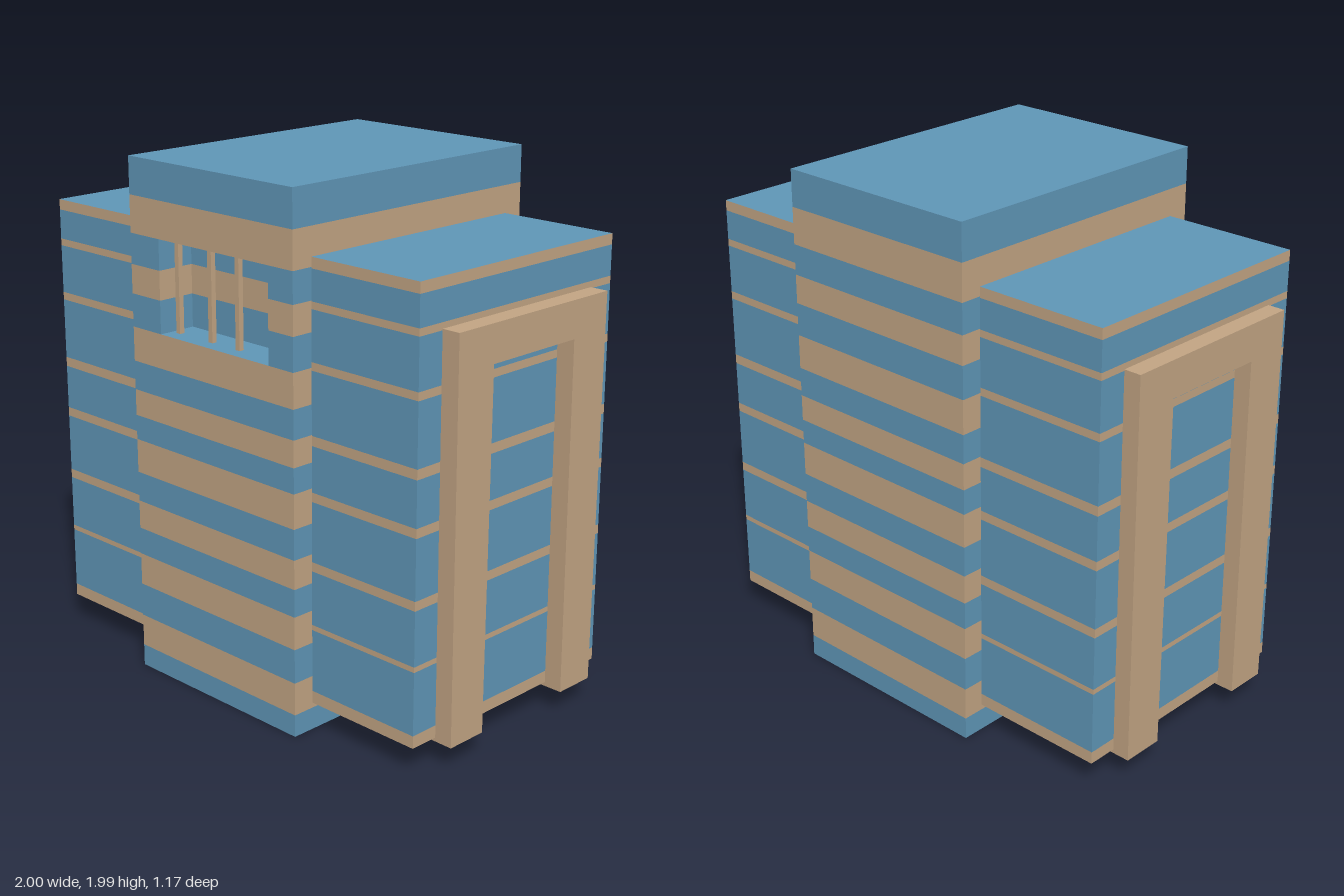
import * as THREE from 'three';

const blue = new THREE.MeshStandardMaterial({ color: 0x6097b8 });
const tan = new THREE.MeshStandardMaterial({ color: 0xc3a584 });

function addMesh(parent, name, geometry, material) {
  const mesh = new THREE.Mesh(geometry, material);
  mesh.name = name;
  parent.add(mesh);
  return mesh;
}

// Vertical walls along a closed plan outline of [x, z] points (front left, front right, back right, back left)
function wallGeometry(outline, y0, y1) {
  const pos = [];
  outline.forEach(([ax, az], i) => {
    const [bx, bz] = outline[(i + 1) % outline.length];
    pos.push(ax, y0, az, bx, y0, bz, bx, y1, bz, ax, y0, az, bx, y1, bz, ax, y1, az);
  });
  const g = new THREE.BufferGeometry();
  g.setAttribute('position', new THREE.Float32BufferAttribute(pos, 3));
  g.computeVertexNormals();
  return g;
}

// Horizontal rectangle facing up (dir 1) or down (dir -1)
function slab(x0, x1, z0, z1, y, dir) {
  return new THREE.PlaneGeometry(x1 - x0, z1 - z0)
    .rotateX(-dir * Math.PI / 2)
    .translate((x0 + x1) / 2, y, (z0 + z1) / 2);
}

// Block with alternating colour bands; outlineAt gives the plan for each band
function bandedBlock(name, x0, x1, z0, z1, levels, colours, outlineAt) {
  const group = new THREE.Group();
  group.name = name;
  const rect = [[x0, z1], [x1, z1], [x1, z0], [x0, z0]];
  for (let i = 0; i < levels.length - 1; i++) {
    const outline = (outlineAt && outlineAt(levels[i])) || rect;
    addMesh(group, 'band', wallGeometry(outline, levels[i], levels[i + 1]), colours[i % 2]);
  }
  addMesh(group, 'roof', slab(x0, x1, z0, z1, levels[levels.length - 1], 1), blue);
  addMesh(group, 'underside', slab(x0, x1, z0, z1, levels[0], -1), blue);
  return group;
}

export function createModel() {
  const model = new THREE.Group();
  model.name = 'bandedBuilding';

  // Central tower, notched where the window is recessed
  const [tx0, tx1, tz] = [-0.4, 0.44, 0.587];
  const win = { x0: -0.245, x1: 0.32, y0: 1.36, y1: 1.71, z: 0.435 };
  const towerLevels = [0, 0.085, 0.21, 0.34, 0.465, 0.57, 0.68, 0.795, 0.925, 1.02, 1.12,
    1.23, 1.36, 1.485, 1.595, 1.71, 1.85, 1.99];
  const notched = [[tx0, tz], [win.x0, tz], [win.x0, win.z], [win.x1, win.z], [win.x1, tz],
    [tx1, tz], [tx1, -tz], [tx0, -tz]];
  model.add(bandedBlock('tower', tx0, tx1, -tz, tz, towerLevels, [blue, tan],
    y => (y >= win.y0 && y < win.y1 ? notched : null)));

  // Window sill, head and bars
  const windowGroup = new THREE.Group();
  windowGroup.name = 'barredWindow';
  addMesh(windowGroup, 'windowSill', slab(win.x0, win.x1, win.z, tz, win.y0, 1), blue);
  addMesh(windowGroup, 'windowHead', slab(win.x0, win.x1, win.z, tz, win.y1, -1), blue);
  for (const x of [-0.21, -0.035, 0.107, 0.285]) {
    const bar = addMesh(windowGroup, 'windowBar',
      new THREE.BoxGeometry(0.02, win.y1 - win.y0, 0.02), tan);
    bar.position.set(x, (win.y0 + win.y1) / 2, 0.525);
  }
  model.add(windowGroup);

  // Side wings
  const wingLevels = [0.105, 0.152, 0.39, 0.41, 0.615, 0.65, 0.875, 0.91, 1.08, 1.117,
    1.35, 1.38, 1.565, 1.592, 1.705, 1.745];
  model.add(bandedBlock('leftWing', tx1, 0.928, -0.503, 0.5, wingLevels, [tan, blue]));
  model.add(bandedBlock('rightWing', -0.933, tx0, -0.503, 0.5, wingLevels, [tan, blue]));

  // Door frames, sunk into the outer wing walls
  const frame = new THREE.Shape([
    [-0.385, 0.09], [-0.22, 0.09], [-0.213, 1.43], [0.213, 1.43],
    [0.22, 0.09], [0.385, 0.09], [0.39, 1.57], [-0.39, 1.57],
  ].map(([x, y]) => new THREE.Vector2(x, y)));
  const depth = 0.137;
  for (const side of [1, -1]) {
    const g = new THREE.ExtrudeGeometry(frame, { depth, bevelEnabled: false })
      .translate(0, 0, 1 - depth)
      .rotateY(side * Math.PI / 2);
    addMesh(model, side > 0 ? 'leftDoorFrame' : 'rightDoorFrame', g, tan);
  }
  return model;
}
